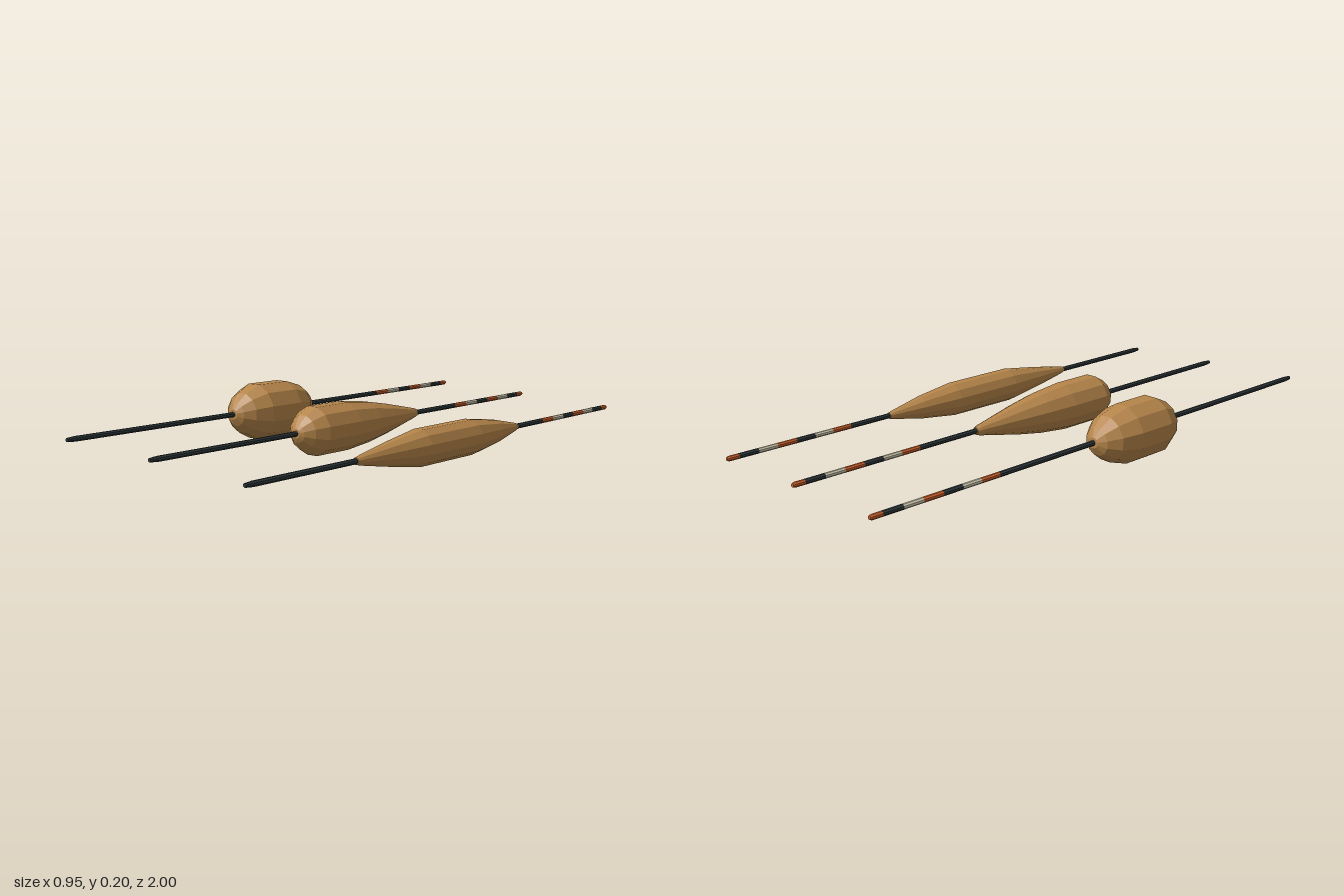
import * as THREE from 'three';

const SIDES = 12;
const mat = (color) => new THREE.MeshStandardMaterial({ color, flatShading: true });

// Faceted solid of revolution along z; profile is [z, half-width across flats]
function turned(name, profile, material, sides = SIDES) {
  const k = 1 / Math.cos(Math.PI / sides);
  const pts = profile.map(([z, r]) => new THREE.Vector2(r * k, z));
  const geo = new THREE.LatheGeometry(pts, sides, Math.PI / sides);
  geo.rotateX(Math.PI / 2);
  const mesh = new THREE.Mesh(geo, material);
  mesh.name = name;
  return mesh;
}

export function createModel() {
  const wood = mat(0xb5854a);
  const dark = mat(0x30393b);
  const orange = mat(0xd0622c);
  const cream = mat(0xd2cdb4);

  const floats = [
    { name: 'roundFloat', x: -0.377, y: 0.1, body: [
      [-0.1, 0], [-0.1, 0.018], [-0.083, 0.047], [-0.04, 0.078], [0.035, 0.1],
      [0.18, 0.1], [0.24, 0.072], [0.272, 0.042], [0.285, 0.018], [0.285, 0]] },
    { name: 'pearFloat', x: 0.018, y: 0.083, body: [
      [-0.27, 0], [-0.27, 0.013], [-0.255, 0.018], [-0.08, 0.054], [0.02, 0.071], [0.14, 0.083],
      [0.3, 0.083], [0.345, 0.058], [0.37, 0.031], [0.378, 0.016], [0.378, 0]] },
    { name: 'slimFloat', x: 0.412, y: 0.061, body: [
      [-0.345, 0], [-0.345, 0.011], [-0.325, 0.016], [-0.2, 0.041], [-0.05, 0.06],
      [0.23, 0.06], [0.385, 0.038], [0.515, 0.016], [0.537, 0.011], [0.537, 0]] },
  ];

  // Painted bands on the antenna, from the tip inwards
  const edges = [-1, -0.957, -0.884, -0.811, -0.737, -0.663, -0.59, -0.516];
  const bands = [orange, dark, cream, orange, dark, cream, orange];
  const r = 0.0085;

  const model = new THREE.Group();
  for (const { name, x, y, body } of floats) {
    const group = new THREE.Group();
    group.name = name;
    group.position.set(x, y, 0);
    group.add(turned('body', body, wood));

    // Stem running through the body, slightly narrowed at its front end
    group.add(turned('stem', [[-0.516, 0], [-0.516, r], [0.97, r], [1, 0.006], [1, 0]], dark, 8));

    bands.forEach((material, i) => {
      const a = edges[i], b = edges[i + 1];
      const profile = i === 0
        ? [[a, 0], [a, 0.006], [a + 0.008, r], [b, r]]
        : [[a, r], [b, r]];
      group.add(turned('antennaBand' + (i + 1), profile, material, 8));
    });
    model.add(group);
  }
  return model;
}
